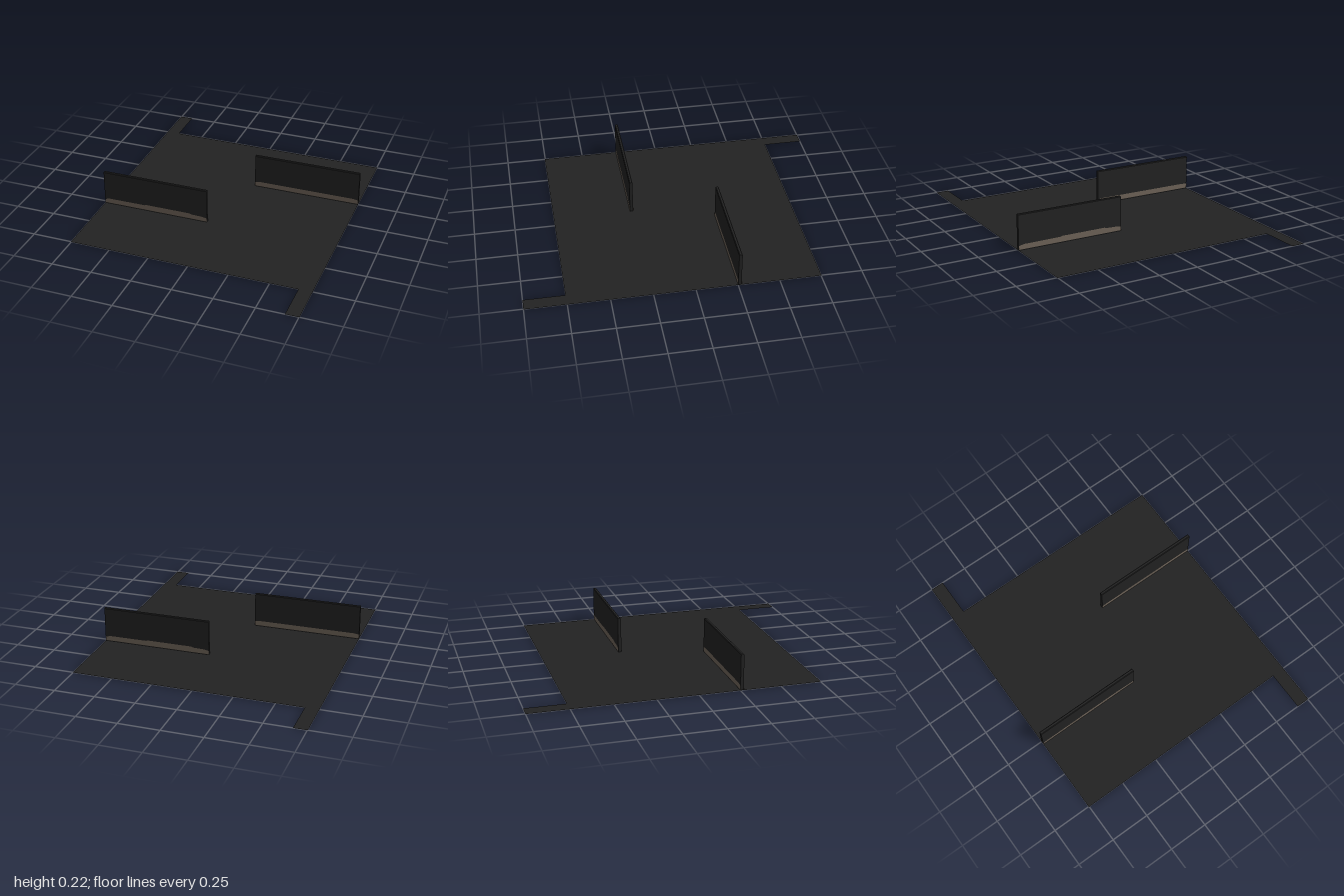
import * as THREE from 'three';

const charcoal = new THREE.MeshStandardMaterial({ color: 0x222222, side: THREE.DoubleSide });
charcoal.name = 'charcoal';
const taupe = new THREE.MeshStandardMaterial({ color: 0x6e6358, side: THREE.DoubleSide });
taupe.name = 'taupe';

const OUT = 0.753, IN = 0.067, LENGTH = OUT - IN, HEIGHT = 0.222, HALF = 0.01;

const shapeOf = (points) => new THREE.Shape(points.map(([x, y]) => new THREE.Vector2(x, y)));

function mesh(name, geometry, material) {
  const m = new THREE.Mesh(geometry, material);
  m.name = name;
  return m;
}

// Flat ground sheet with one narrow tab at each of two opposite corners
function makeFloor() {
  const s = OUT, t = 0.67;
  const geometry = new THREE.ShapeGeometry(shapeOf([
    [-s, -s], [t, -s], [t, -1], [s, -1], [s, s], [-t, s], [-t, 1], [-s, 1],
  ]));
  geometry.rotateX(-Math.PI / 2);
  return mesh('floor', geometry, charcoal);
}

// Thin upright wall with slightly bevelled top, and a worn strip along each foot
function makeWall(name) {
  const wall = new THREE.Group();
  wall.name = name;
  const b = 0.004;
  const section = shapeOf([
    [-HALF, 0.002], [HALF, 0.002], [HALF, HEIGHT - b], [HALF - b, HEIGHT],
    [-HALF + b, HEIGHT], [-HALF, HEIGHT - b],
  ]);
  const panel = new THREE.ExtrudeGeometry(section, { depth: LENGTH, bevelEnabled: false });
  panel.rotateY(Math.PI / 2);
  panel.translate(-OUT, 0, 0);
  wall.add(mesh('wallPanel', panel, charcoal));

  // Outer strip rises in the middle, inner strip is even
  const outer = shapeOf([
    [-OUT, 0.004], [-IN, 0.004], [-IN, 0.028], [-0.1, 0.034], [-0.17, 0.036],
    [-0.18, 0.041], [-0.47, 0.041], [-0.48, 0.037], [-0.72, 0.036], [-OUT, 0.028],
  ]);
  const inner = shapeOf([
    [-OUT, 0.004], [-IN, 0.004], [-IN, 0.031], [-0.1, 0.036], [-0.72, 0.036], [-OUT, 0.031],
  ]);
  [[outer, 1, 'outerFootStrip'], [inner, -1, 'innerFootStrip']].forEach(([shape, side, label]) => {
    const strip = mesh(label, new THREE.ShapeGeometry(shape), taupe);
    strip.position.z = side * (HALF + 0.001);
    wall.add(strip);
  });
  wall.position.z = 0.26;
  return wall;
}

export function createModel() {
  const model = new THREE.Group();
  model.name = 'flooredWalls';
  model.add(makeFloor(), makeWall('frontWall'));

  // The rear wall is the front one turned half a circle about the centre
  const rear = makeWall('rearWall');
  rear.position.z *= -1;
  rear.rotation.y = Math.PI;
  model.add(rear);
  return model;
}
